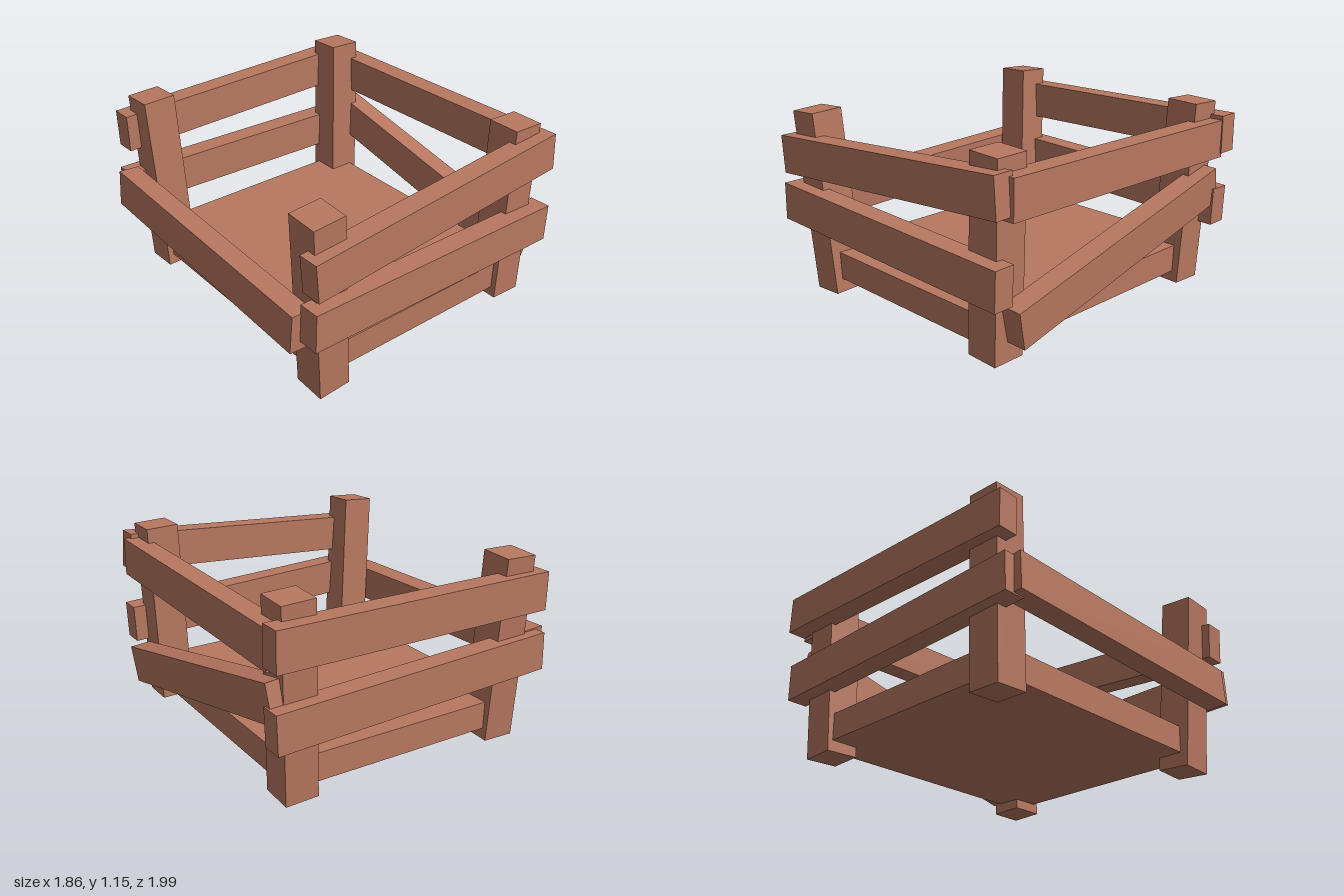
import * as THREE from 'three';

const V = (p) => new THREE.Vector3(...p);

export function createModel() {
  const group = new THREE.Group();
  const wood = new THREE.MeshStandardMaterial({ color: 0xb87860 });
  wood.name = 'reddish wood';

  function add(name, size, position) {
    const mesh = new THREE.Mesh(new THREE.BoxGeometry(...size), wood);
    mesh.name = name;
    mesh.position.copy(position);
    group.add(mesh);
    return mesh;
  }

  // Square post leaning from its foot to its top
  function post(name, foot, top) {
    const a = V(foot), b = V(top), dir = b.clone().sub(a);
    const mesh = add(name, [0.197, dir.length(), 0.197], a.clone().lerp(b, 0.5));
    mesh.quaternion.setFromUnitVectors(new THREE.Vector3(0, 1, 0), dir.normalize());
  }

  // Plank between two end centres, optionally rolled about its length
  function plank(name, start, end, roll = 0) {
    const a = V(start), b = V(end), dir = b.clone().sub(a);
    const mesh = add(name, [dir.length(), 0.225, 0.125], a.clone().lerp(b, 0.5));
    dir.normalize();
    const side = dir.clone().cross(new THREE.Vector3(0, 1, 0)).normalize();
    const up = side.clone().cross(dir);
    mesh.quaternion.setFromRotationMatrix(new THREE.Matrix4().makeBasis(dir, up, side));
    mesh.rotateX(roll);
  }

  // Floor
  add('floor', [1.46, 0.165, 1.67], V([0.03, 0.18, 0.0]));

  // Corner posts
  post('frontRightPost', [-0.645, 0.01, 0.78], [-0.72, 1.11, 0.83]);
  post('frontLeftPost', [0.70, 0.035, 0.77], [0.735, 1.14, 0.78]);
  post('backRightPost', [-0.635, 0.03, -0.765], [-0.67, 1.135, -0.82]);
  post('backLeftPost', [0.70, 0.03, -0.765], [0.735, 1.14, -0.81]);

  // Front planks
  plank('frontUpperPlank', [-0.85, 0.845, 0.933], [0.89, 0.97, 0.89]);
  plank('frontLowerPlank', [-0.86, 0.555, 0.933], [0.893, 0.5, 0.895]);

  // Back planks
  plank('backUpperPlank', [-0.835, 0.92, -0.9], [0.915, 0.945, -0.935]);
  plank('backLowerPlank', [-0.86, 0.55, -0.885], [0.9, 0.5, -0.905]);

  // Side planks: one on the right, a level and a slipped one on the left
  plank('rightPlank', [-0.857, 0.5, 0.87], [-0.845, 0.558, -0.885], 0.06);
  plank('leftUpperPlank', [0.855, 0.943, 0.855], [0.847, 0.92, -0.89]);
  plank('leftSlippedPlank', [0.865, 0.255, 0.805], [0.832, 0.635, -0.88], 0.06);

  return group;
}
